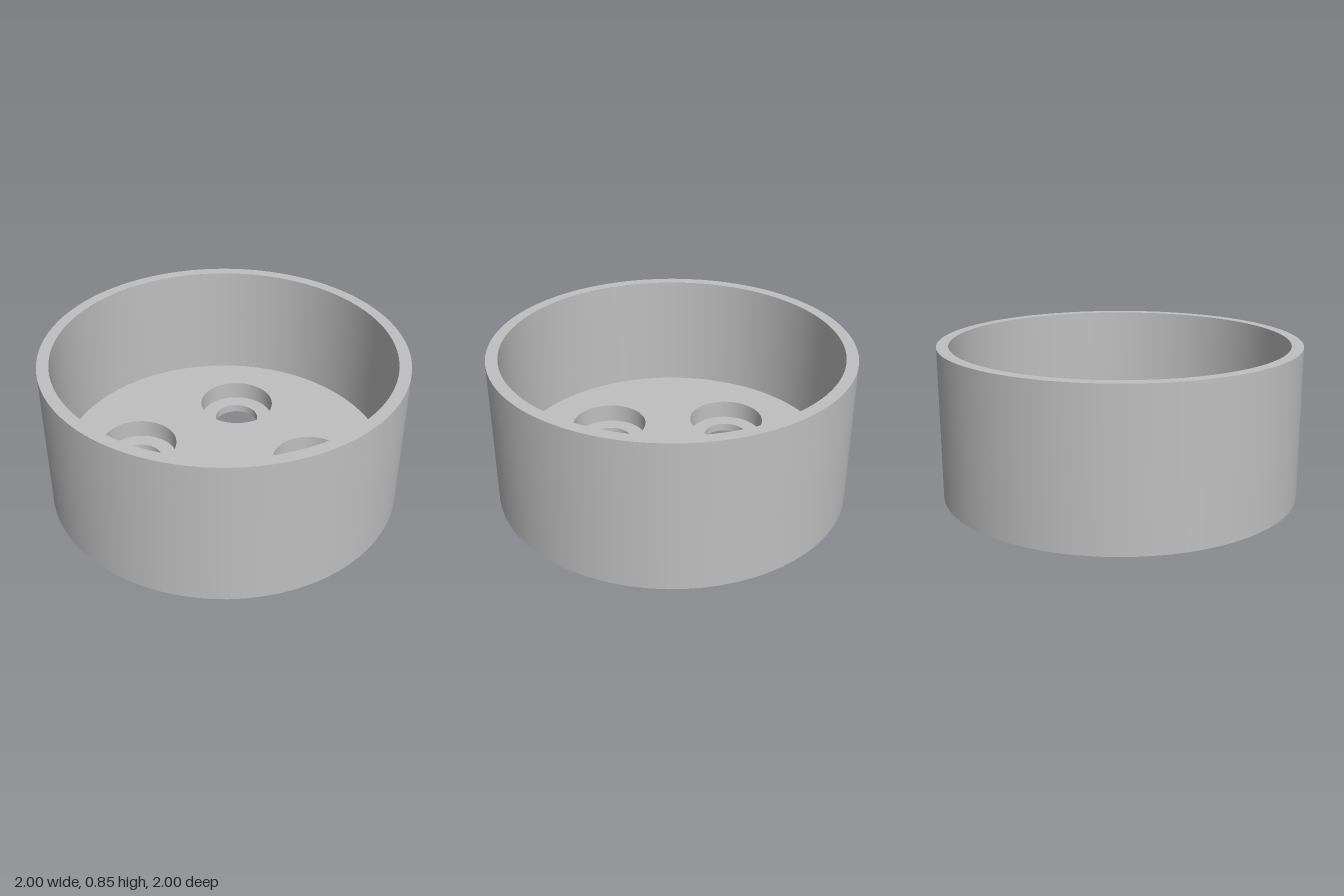
import * as THREE from 'three';

const SEG = 72;
const HEIGHT = 0.845, FLOOR = 0.17;       // rim height, top of the cup floor
const OUTER = 1, INNER = 0.935;           // cup radii
const BORE = 0.13, COUNTERBORE = 0.22, RING = 0.185, PAD = 0.14;
const LEDGE = 0.06, RING_DEPTH = 0.012, PAD_DEPTH = 0.022;
const h = 0.358, p = 0.812;
const holeSpots = [[h, h], [h, -h], [-h, h], [-h, -h]];
const padSpots = [[p, 0], [-p, 0], [0, p], [0, -p]];

export function createModel() {
  const model = new THREE.Group();
  model.name = 'drilledCup';
  const grey = new THREE.MeshStandardMaterial({ color: 0xbfbfbf });
  grey.name = 'plain grey';

  function add(name, geometry, x = 0, y = 0, z = 0, parent = model) {
    const mesh = new THREE.Mesh(geometry, grey);
    mesh.name = name;
    mesh.position.set(x, y, z);
    parent.add(mesh);
  }

  // Round wall; faces outward when y1 > y0, inward when y1 < y0
  const wall = (r, y0, y1) =>
    new THREE.LatheGeometry([new THREE.Vector2(r, y0), new THREE.Vector2(r, y1)], SEG);

  // Flat disc with round holes [x, z, r], facing up or down
  function disc(r, up, holes = []) {
    const shape = new THREE.Shape().absarc(0, 0, r, 0, Math.PI * 2, false);
    for (const [x, z, hr] of holes) {
      shape.holes.push(new THREE.Path().absarc(x, up ? -z : z, hr, 0, Math.PI * 2, true));
    }
    return new THREE.ShapeGeometry(shape, SEG).rotateX(up ? -Math.PI / 2 : Math.PI / 2);
  }

  // Cup body
  add('outerWall', wall(OUTER, 0, HEIGHT));
  add('innerWall', wall(INNER, HEIGHT, FLOOR));
  add('rim', disc(OUTER, true, [[0, 0, INNER]]), 0, HEIGHT);
  add('cupFloor', disc(INNER, true, holeSpots.map(([x, z]) => [x, z, COUNTERBORE])), 0, FLOOR);
  add('underside', disc(OUTER, false, [
    ...holeSpots.map(([x, z]) => [x, z, RING]),
    ...padSpots.map(([x, z]) => [x, z, PAD]),
  ]));

  // Counterbored through holes with a shallow ring recess below
  for (const [x, z] of holeSpots) {
    const hole = new THREE.Group();
    hole.name = 'screwHole';
    hole.position.set(x, 0, z);
    model.add(hole);
    add('counterboreWall', wall(COUNTERBORE, FLOOR, LEDGE), 0, 0, 0, hole);
    add('counterboreLedge', disc(COUNTERBORE, true, [[0, 0, BORE]]), 0, LEDGE, 0, hole);
    add('boreWall', wall(BORE, LEDGE, RING_DEPTH), 0, 0, 0, hole);
    add('ringRecess', disc(RING, false, [[0, 0, BORE]]), 0, RING_DEPTH, 0, hole);
    add('ringRecessWall', wall(RING, RING_DEPTH, 0), 0, 0, 0, hole);
  }

  // Shallow blind recesses for feet
  for (const [x, z] of padSpots) {
    add('footRecessWall', wall(PAD, PAD_DEPTH, 0), x, 0, z);
    add('footRecess', disc(PAD, false), x, PAD_DEPTH, z);
  }
  return model;
}
